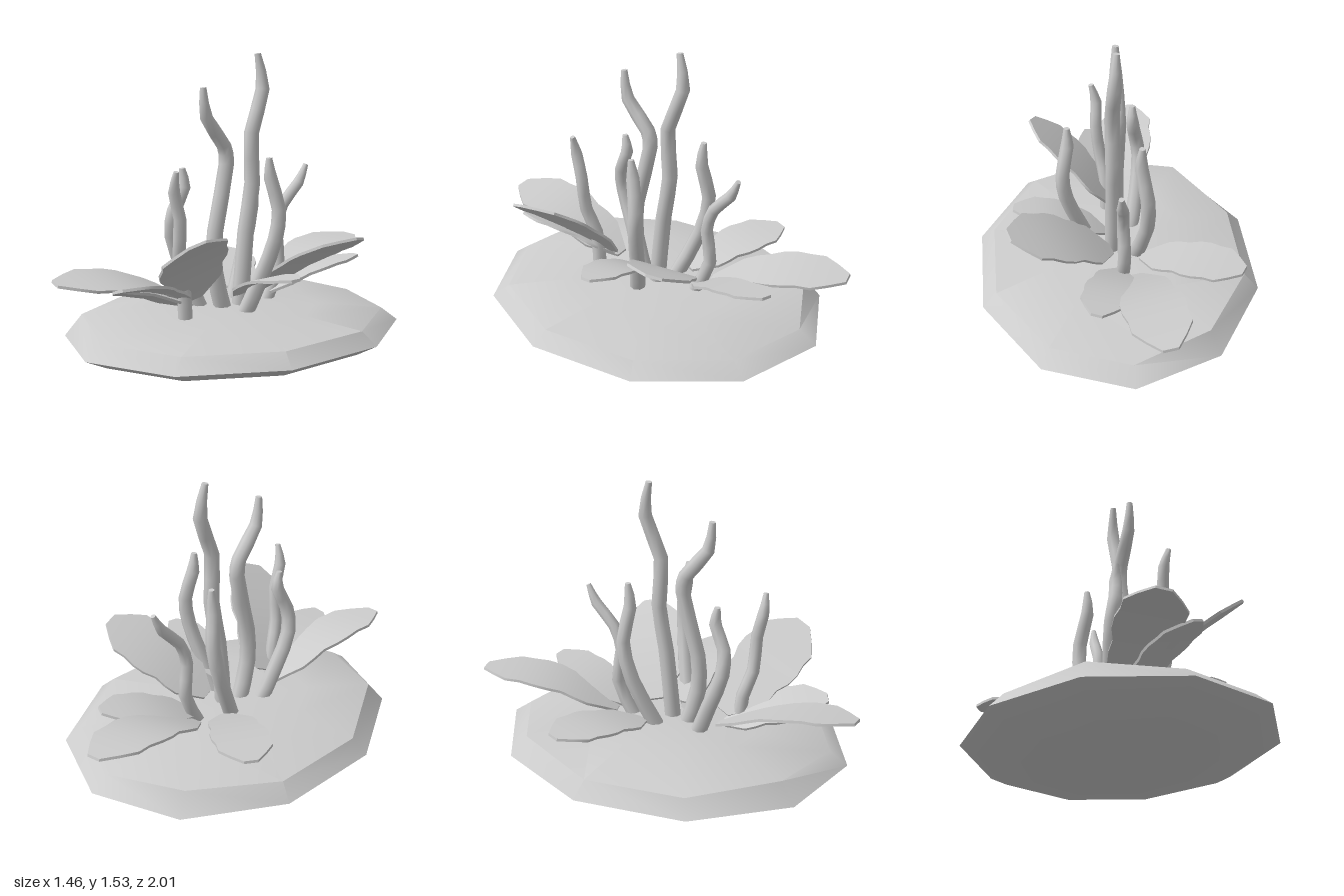
import * as THREE from 'three';
import { toCreasedNormals } from 'three/addons/utils/BufferGeometryUtils.js';

const material = new THREE.MeshStandardMaterial({ color: 0xcccccc });
const vec = (p) => new THREE.Vector3(...p);

// Moves every vertex of a geometry by a rule
function reshape(geometry, rule) {
  const pos = geometry.attributes.position;
  const v = new THREE.Vector3();
  for (let i = 0; i < pos.count; i++) {
    v.fromBufferAttribute(pos, i);
    rule(v);
    pos.setXYZ(i, v.x, v.y, v.z);
  }
  geometry.computeVertexNormals();
  return geometry;
}

function addPart(group, name, geometry, crease) {
  const mesh = new THREE.Mesh(toCreasedNormals(geometry, crease), material);
  mesh.name = name;
  group.add(mesh);
}

// Ten-sided oval stone, a little higher on one side
function stoneGeometry() {
  const profile = [[0, 0], [0.5, 0.02], [0.87, 0.065], [1, 0.12], [0.9, 0.188], [0.5, 0.228], [0, 0.25]]
    .map(([r, y]) => new THREE.Vector2(r, y));
  return reshape(new THREE.LatheGeometry(profile, 10), (v) => {
    v.x *= 0.765;
    v.z = v.z * 0.93 + 0.015;
    if (v.y > 0.15 && v.x < -0.01) v.y += 0.04 * Math.sin(Math.PI * Math.min(1, -v.x / 0.73));
  });
}

// Tapered stalk swept along a bent path
function stalkGeometry(points, radius) {
  const curve = new THREE.CatmullRomCurve3(points.map(vec), false, 'centripetal');
  const up = new THREE.Vector3(0, 1, 0);
  const turn = new THREE.Quaternion();
  const cylinder = new THREE.CylinderGeometry(1, 1, 1, 8, (points.length - 1) * 2);
  return reshape(cylinder, (v) => {
    const t = THREE.MathUtils.clamp(v.y + 0.5, 0, 1);
    const taper = t < 0.8 ? 1 - 0.25 * t : 0.8 - (t - 0.8) * 2.2;
    turn.setFromUnitVectors(up, curve.getTangent(t));
    v.y = 0;
    v.multiplyScalar(radius * taper).applyQuaternion(turn).add(curve.getPoint(t));
  });
}

// Half-width of a leaf from base to tip, with a wavy edge
const edge = [0.2, 0.5, 0.8, 0.86, 0.84, 0.98, 1, 0.92, 0.93, 0.62, 0.24];

// Thin arched leaf between two points, facing along a given normal
function leafGeometry({ base, tip, normal, width, arch }) {
  const a = vec(base);
  const along = vec(tip).sub(a);
  const side = along.clone().cross(vec(normal)).normalize();
  const face = side.clone().cross(along).normalize();
  const rows = edge.length - 1;
  return reshape(new THREE.BoxGeometry(1, 1, 1, 2, 1, rows), (v) => {
    const t = 0.5 - v.z;
    const across = v.x * width * edge[Math.round(t * rows)];
    const lift = arch * Math.sin(Math.PI * t) + v.y * 0.014;
    v.copy(a).addScaledVector(along, t).addScaledVector(side, across).addScaledVector(face, lift);
  });
}

const stalks = [
  { r: 0.045, points: [[0.02, 0.2, 0], [0.02, 0.62, -0.04], [0.025, 0.87, -0.08], [0.03, 1.13, -0.07], [0.025, 1.35, -0.15], [0.015, 1.53, -0.125]] },
  { r: 0.045, points: [[-0.01, 0.2, 0.08], [-0.01, 0.44, 0.145], [-0.01, 0.64, 0.14], [-0.015, 0.98, 0.06], [-0.015, 1.07, 0.075], [-0.015, 1.22, 0.19], [-0.015, 1.37, 0.21]] },
  { r: 0.042, points: [[-0.09, 0.2, -0.04], [-0.14, 0.5, -0.17], [-0.135, 0.72, -0.22], [-0.105, 0.9, -0.19], [-0.105, 1.03, -0.2]] },
  { r: 0.042, points: [[0.115, 0.2, 0.06], [0.2, 0.43, 0.01], [0.265, 0.62, -0.02], [0.28, 0.77, -0.03], [0.25, 0.93, 0], [0.25, 1.03, 0.01]] },
  { r: 0.037, points: [[0.02, 0.2, 0.36], [0.025, 0.42, 0.375], [0.05, 0.56, 0.42], [0.07, 0.75, 0.43], [0.065, 0.88, 0.46], [0.09, 0.985, 0.465]] },
  { r: 0.042, points: [[-0.09, 0.2, 0.16], [-0.13, 0.42, 0.24], [-0.15, 0.62, 0.31], [-0.13, 0.75, 0.31], [-0.11, 0.87, 0.26], [-0.11, 0.965, 0.27]] },
  { r: 0.036, points: [[-0.01, 0.2, -0.2], [-0.01, 0.42, -0.3], [-0.005, 0.6, -0.28], [0, 0.73, -0.32], [0.015, 0.84, -0.42], [0.025, 0.935, -0.465]] },
];

const leaves = [
  { base: [-0.07, 0.28, -0.28], tip: [-0.15, 0.46, -1], normal: [0.1, 1, 0.2], width: 0.32, arch: 0.06 },
  { base: [-0.06, 0.28, 0.27], tip: [-0.16, 0.475, 1], normal: [0.2, 1, -0.2], width: 0.32, arch: 0.06 },
  { base: [0.04, 0.31, -0.1], tip: [0.57, 0.63, -0.31], normal: [-0.32, 0.53, 0], width: 0.34, arch: 0.03 },
  { base: [0, 0.32, 0.28], tip: [0.41, 0.695, 0.6], normal: [-0.38, 0.42, 0], width: 0.36, arch: 0.03 },
  { base: [0.05, 0.31, 0.05], tip: [0.54, 0.475, 0.1], normal: [-0.17, 0.5, 0], width: 0.22, arch: 0.04 },
  { base: [-0.12, 0.27, -0.12], tip: [-0.61, 0.385, -0.42], normal: [0.15, 1, 0.1], width: 0.29, arch: 0.03 },
  { base: [0, 0.27, -0.22], tip: [0.17, 0.43, -0.71], normal: [-0.2, 1, 0.3], width: 0.24, arch: 0.03 },
  { base: [-0.04, 0.28, 0.3], tip: [0.08, 0.45, 0.81], normal: [-0.4, 1, -0.3], width: 0.25, arch: 0.03 },
];

export function createModel() {
  const model = new THREE.Group();
  model.name = 'plantOnStone';
  addPart(model, 'stone', stoneGeometry(), 0.6);
  stalks.forEach((s, i) => addPart(model, `stalk${i + 1}`, stalkGeometry(s.points, s.r), 1));
  leaves.forEach((leaf, i) => addPart(model, `leaf${i + 1}`, leafGeometry(leaf), 0.7));
  return model;
}
